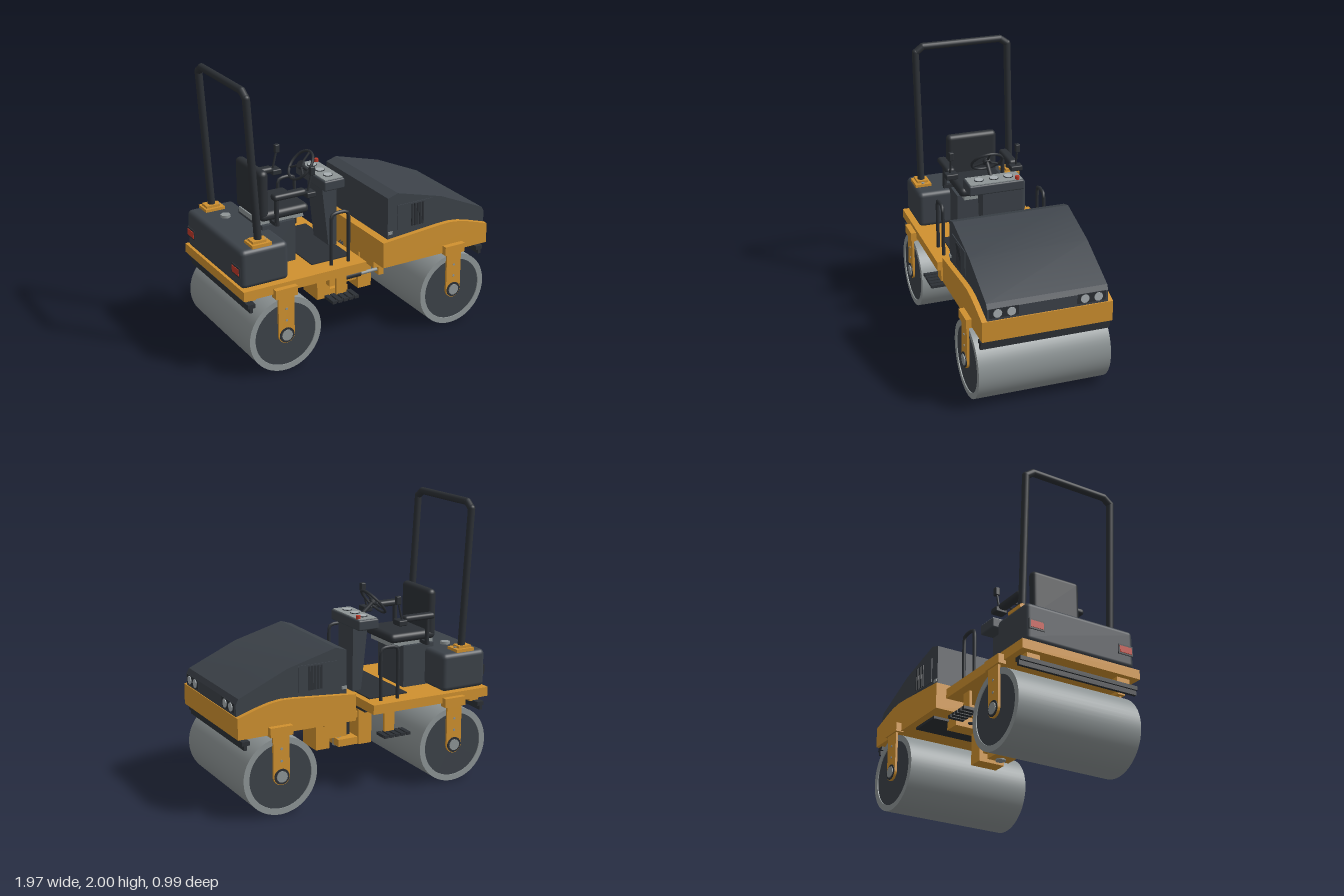
import * as THREE from 'three';
import { RoundedBoxGeometry } from 'three/addons/geometries/RoundedBoxGeometry.js';
import { toCreasedNormals } from 'three/addons/utils/BufferGeometryUtils.js';

const material = (name, color, side = THREE.FrontSide) => {
  const m = new THREE.MeshStandardMaterial({ color, side });
  m.name = name;
  return m;
};

export function createModel() {
  const yellow = material('yellow paint', 0xd0912f);
  const dark = material('charcoal panel', 0x3c4249);
  const black = material('black trim', 0x2c3035);
  const steel = material('grey steel', 0x8e9596);
  const lens = material('lamp glass', 0xa9b0b3);
  const red = material('red', 0xc03a2a);
  const root = new THREE.Group();
  const V = (x, y, z) => new THREE.Vector3(x, y, z);

  const add = (name, geo, mat) => {
    const m = new THREE.Mesh(geo, mat);
    m.name = name;
    root.add(m);
    return m;
  };
  // Box given by its extents, with optional rounded edges
  const box = (name, mat, [x0, x1], [y0, y1], [z0, z1], r = 0) => {
    const s = [x1 - x0, y1 - y0, z1 - z0];
    const m = add(name, r ? new RoundedBoxGeometry(...s, 3, r) : new THREE.BoxGeometry(...s), mat);
    m.position.set((x0 + x1) / 2, (y0 + y1) / 2, (z0 + z1) / 2);
    return m;
  };
  // Cylinder between two points
  const rod = (name, mat, a, b, r, sides = 16, r2 = r) => {
    const d = b.clone().sub(a);
    const m = add(name, new THREE.CylinderGeometry(r2, r, d.length(), sides), mat);
    m.position.copy(a).addScaledVector(d, 0.5);
    m.quaternion.setFromUnitVectors(V(0, 1, 0), d.normalize());
    return m;
  };
  // Side profile in x-y, extruded from z0 to z1
  const extrude = (name, mat, shape, z0, z1) => {
    const g = new THREE.ExtrudeGeometry(shape, { depth: z1 - z0, bevelEnabled: false, curveSegments: 12 });
    g.translate(0, 0, z0);
    return add(name, toCreasedNormals(g, 0.4), mat);
  };
  const poly = (pts) => new THREE.Shape(pts.map((p) => new THREE.Vector2(...p)));
  const span = (s, a, b) => (s > 0 ? [a, b] : [-b, -a]);
  const tube = (name, mat, pts, r) => {
    const path = new THREE.CatmullRomCurve3(pts, false, 'centripetal');
    return add(name, new THREE.TubeGeometry(path, 28, r, 8), mat);
  };

  // Drums, hubs and fork arms
  for (const x of [-0.68, 0.68]) {
    const profile = [[0.23, -0.47], [0.272, -0.47], [0.272, 0.47], [0.23, 0.47], [0.23, -0.47]];
    const shell = new THREE.LatheGeometry(profile.map((p) => new THREE.Vector2(...p)), 56);
    shell.rotateX(Math.PI / 2);
    add('drumShell', toCreasedNormals(shell, 0.5), steel).position.set(x, 0.273, 0);
    rod('drumDisc', dark, V(x, 0.273, -0.463), V(x, 0.273, 0.463), 0.232, 48);
    for (const s of [-1, 1]) {
      const arm = new THREE.Shape();
      arm.moveTo(x + 0.06, 0.6);
      arm.lineTo(x - 0.06, 0.6);
      arm.lineTo(x - 0.06, 0.275);
      arm.absarc(x, 0.275, 0.06, Math.PI, 2 * Math.PI, false);
      extrude('forkArm', yellow, arm, ...span(s, 0.468, 0.485));
      box('forkBracket', yellow, [x - 0.083, x + 0.083], [0.56, 0.625], span(s, 0.44, 0.497));
      rod('hubRing', black, V(x, 0.275, s * 0.48), V(x, 0.275, s * 0.489), 0.055, 24);
      rod('hub', steel, V(x, 0.275, s * 0.48), V(x, 0.275, s * 0.496), 0.04, 12);
      for (const y of [0.385, 0.47]) rod('armBolt', steel, V(x, y, s * 0.48), V(x, y, s * 0.489), 0.009, 8);
    }
  }

  // Drum scrapers at both ends
  for (const e of [-1, 1]) {
    box('scraperBar', black, span(e, 0.895, 0.95), [0.52, 0.548], [-0.455, 0.455]);
    box('scraperBlade', black, span(e, 0.915, 0.937), [0.488, 0.52], [-0.455, 0.455]);
    for (const s of [-1, 1])
      box('scraperBracket', yellow, span(e, 0.865, 0.94), [0.545, 0.59], span(s, 0.3, 0.4));
  }

  // Rear deck, floor and steps
  box('rearDeck', yellow, [-0.98, -0.038], [0.585, 0.652], [-0.457, 0.457]);
  box('floorMat', black, [-0.39, -0.083], [0.65, 0.66], [-0.315, 0.315]);
  box('underTray', black, [-0.45, -0.085], [0.537, 0.587], [-0.25, 0.25]);
  for (const s of [-1, 1]) {
    box('stepHanger', yellow, [-0.24, -0.16], [0.425, 0.59], span(s, 0.375, 0.395));
    for (let i = 0; i < 5; i++) {
      const x = -0.32 + i * 0.044;
      box('stepSlat', black, [x, x + 0.032], [0.407, 0.428], span(s, 0.37, 0.483));
    }
    for (const z of [0.38, 0.46]) box('stepRail', black, [-0.32, -0.11], [0.41, 0.424], span(s, z, z + 0.012));
    // Grab rails
    tube('grabRail', black, [V(-0.272, 0.65, s * 0.38), V(-0.272, 0.99, s * 0.38), V(-0.268, 1.015, s * 0.38),
      V(-0.245, 1.027, s * 0.38), V(-0.16, 1.027, s * 0.38), V(-0.142, 1.015, s * 0.38),
      V(-0.138, 0.99, s * 0.38), V(-0.138, 0.65, s * 0.38)], 0.013);
  }

  // Rear tank and tail lamps
  box('rearTank', dark, [-0.975, -0.62], [0.65, 0.925], [-0.422, 0.422], 0.035);
  rod('fillerCap', steel, V(-0.8, 0.92, -0.16), V(-0.8, 0.945, -0.16), 0.036, 6);
  for (const s of [-1, 1]) {
    box('tailLampHousing', black, [-0.982, -0.96], [0.735, 0.805], span(s, 0.29, 0.405));
    box('tailLamp', red, [-0.986, -0.98], [0.747, 0.793], span(s, 0.3, 0.395));
    // Roll bar feet
    box('rollBarPlate', yellow, [-0.885, -0.74], [0.922, 0.945], span(s, 0.29, 0.41));
    box('rollBarSocket', yellow, [-0.87, -0.77], [0.94, 0.962], span(s, 0.31, 0.39));
    rod('plateBolt', steel, V(-0.762, 0.94, s * 0.35), V(-0.762, 0.952, s * 0.35), 0.012, 8);
    // Roll bar legs and mitred corners
    rod('rollBarLeg', black, V(-0.813, 0.94, s * 0.35), V(-0.873, 1.935, s * 0.35), 0.026);
    rod('rollBarCorner', black, V(-0.873, 1.933, s * 0.35), V(-0.875, 1.974, s * 0.295), 0.026);
    for (const p of [V(-0.873, 1.935, s * 0.35), V(-0.875, 1.974, s * 0.295)])
      add('rollBarJoint', new THREE.SphereGeometry(0.026, 16, 10), black).position.copy(p);
  }
  rod('rollBarTop', black, V(-0.875, 1.974, -0.295), V(-0.875, 1.974, 0.295), 0.026);

  // Seat
  box('seatPedestal', dark, [-0.69, -0.44], [0.65, 0.955], [-0.18, 0.18]);
  box('seatRail', steel, [-0.7, -0.36], [0.95, 0.987], [-0.15, 0.15]);
  box('seatCushion', black, [-0.705, -0.33], [0.983, 1.052], [-0.19, 0.19], 0.032);
  box('seatBack', black, [-0.707, -0.637], [1.0, 1.345], [-0.19, 0.19], 0.033);
  for (const s of [-1, 1]) {
    rod('armrestPost', black, V(-0.605, 0.96, s * 0.225), V(-0.605, 1.16, s * 0.225), 0.016);
    box('armrestStay', black, [-0.62, -0.59], [0.96, 0.985], span(s, 0.14, 0.235));
    box('armrest', black, [-0.645, -0.395], [1.152, 1.197], span(s, 0.205, 0.272), 0.02);
    box('leverBase', black, [-0.405, -0.335], [1.135, 1.175], span(s, 0.2, 0.29), 0.008);
    rod('lever', black, V(-0.38, 1.17, s * 0.25), V(-0.35, 1.295, s * 0.25), 0.008, 8);
    box('leverKnob', black, [-0.365, -0.328], [1.285, 1.345], span(s, 0.233, 0.267), 0.006);
  }

  // Console
  extrude('consoleColumn', dark, poly([[-0.135, 0.655], [-0.068, 0.655], [-0.068, 1.12], [-0.187, 1.12]]), -0.105, 0.105);
  box('consoleHead', dark, [-0.222, -0.06], [1.115, 1.19], [-0.205, 0.205], 0.012);
  box('instrumentPanel', steel, [-0.21, -0.07], [1.189, 1.196], [-0.193, 0.193]);
  for (const z of [-0.11, 0, 0.11]) {
    rod('gaugeRim', black, V(-0.142, 1.19, z), V(-0.142, 1.2, z), 0.034, 20);
    rod('gaugeFace', lens, V(-0.142, 1.19, z), V(-0.142, 1.203, z), 0.03, 20);
  }
  rod('stopButton', red, V(-0.082, 1.19, -0.157), V(-0.082, 1.218, -0.157), 0.016, 12);

  // Steering wheel, tilted towards the seat
  const wheel = new THREE.Group();
  wheel.name = 'steeringWheel';
  wheel.position.set(-0.292, 1.263, 0);
  wheel.quaternion.setFromUnitVectors(V(0, 1, 0), V(-0.754, 0.656, 0));
  wheel.add(add('wheelRim', new THREE.TorusGeometry(0.112, 0.01, 8, 36).rotateX(Math.PI / 2), black));
  wheel.add(add('wheelHub', new THREE.CylinderGeometry(0.03, 0.03, 0.025, 16), black));
  for (let i = 0; i < 3; i++) {
    const a = (i * 2 * Math.PI) / 3;
    wheel.add(rod('wheelSpoke', black, V(0, 0, 0), V(0.11 * Math.cos(a), 0, 0.11 * Math.sin(a)), 0.008, 8));
  }
  root.add(wheel);
  rod('steeringColumn', black, V(-0.292, 1.263, 0), V(-0.18, 1.165, 0), 0.015, 12);

  // Front body and engine hood
  const body = poly([[0.1, 0.567], [0.98, 0.567], [0.98, 0.715], [0.82, 0.765], [0.74, 0.785], [0.66, 0.795],
    [0.56, 0.792], [0.1, 0.755]]);
  extrude('frontBody', yellow, body, -0.457, 0.457);
  const hood = poly([[0.155, 0.75], [0.6, 0.75], [0.8, 0.74], [0.975, 0.71], [0.975, 0.8], [0.955, 0.835],
    [0.6, 0.992], [0.235, 1.09], [0.155, 1.065]]);
  extrude('engineHood', dark, hood, -0.42, 0.42);
  box('bodySill', black, [0.23, 0.48], [0.548, 0.568], [-0.4, 0.4]);
  for (const s of [-1, 1]) {
    box('sideVent', dark, [0.232, 0.522], [0.815, 1.0], span(s, 0.415, 0.426));
    for (let i = 0; i < 5; i++) {
      const x = 0.345 + i * 0.022;
      box('ventLouver', black, [x, x + 0.013], [0.825, 0.99], span(s, 0.42, 0.433));
    }
    box('hoodLatch', steel, [0.157, 0.192], [0.794, 0.815], span(s, 0.415, 0.428));
    // Headlamps
    box('headlampHousing', black, [0.96, 0.98], [0.735, 0.802], span(s, 0.205, 0.402));
    for (const z of [0.255, 0.35]) rod('headlamp', lens, V(0.97, 0.768, s * z), V(0.985, 0.768, s * z), 0.03, 20);
  }

  // Articulated joint
  box('rearJointPost', yellow, [-0.225, -0.12], [0.25, 0.585], [-0.1, 0.1]);
  box('lowerJointArm', yellow, [-0.125, 0.035], [0.25, 0.303], [-0.085, 0.085]);
  box('upperJointArm', yellow, [-0.125, 0.035], [0.45, 0.495], [-0.085, 0.085]);
  box('jointBlock', yellow, [-0.04, 0.12], [0.32, 0.43], [-0.07, 0.07]);
  box('jointBumper', black, [-0.068, -0.038], [0.325, 0.42], [-0.06, 0.06]);
  box('frontJointPost', yellow, [0.115, 0.223], [0.26, 0.57], [-0.1, 0.1]);
  box('frontJointFlange', yellow, [0.13, 0.25], [0.49, 0.57], [-0.28, 0.28]);
  rod('pivotPin', steel, V(0, 0.24, 0), V(0, 0.51, 0), 0.036, 20);

  // Steering cylinder and hoses
  box('cylinderRearMount', yellow, [-0.225, -0.165], [0.43, 0.59], [0.225, 0.275]);
  rod('steeringCylinder', black, V(-0.18, 0.467, 0.25), V(0.035, 0.467, 0.25), 0.026);
  rod('cylinderRod', steel, V(0.03, 0.46, 0.25), V(0.19, 0.46, 0.25), 0.013, 12);
  box('cylinderFrontMount', yellow, [0.175, 0.215], [0.425, 0.5], [0.22, 0.28]);
  for (const z of [-0.06, -0.03])
    tube('hose', black, [V(-0.14, 0.56, z), V(-0.03, 0.515, z), V(0.05, 0.505, z - 0.05), V(0.12, 0.52, z - 0.11),
      V(0.25, 0.565, z - 0.13)], 0.01);

  return root;
}
